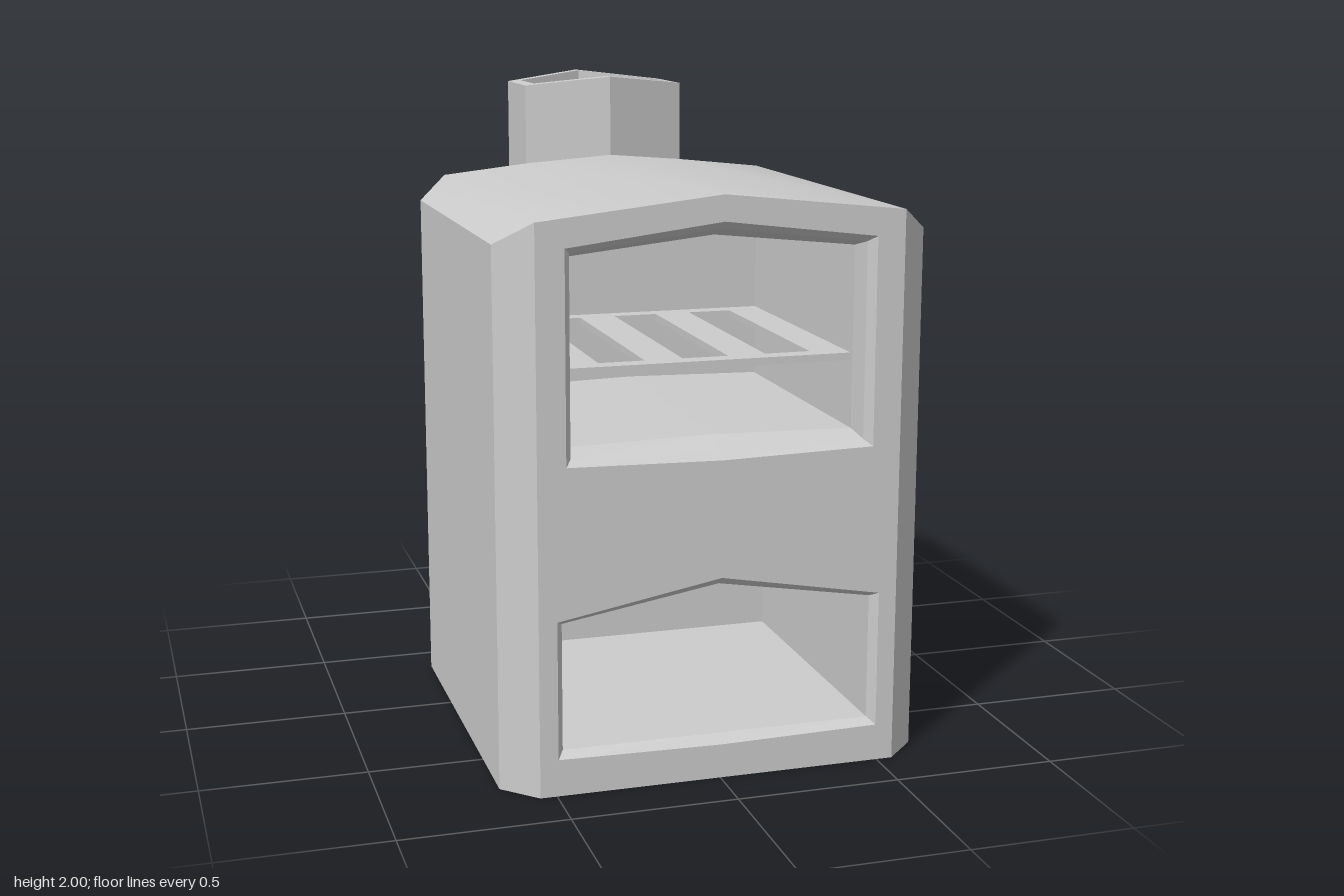
import * as THREE from 'three';

const material = new THREE.MeshStandardMaterial({ color: 0xcccccc, side: THREE.DoubleSide });
const FRONT = 0.835, BACK = -0.46, CHAMBER_BACK = -0.13;
// Roof height over the width: a low ridge with steeper shoulders
const roofY = (x) => {
  const a = Math.abs(x);
  return a <= 0.55 ? 1.74 - (0.06 * a) / 0.55 : 1.68 - 0.7 * (a - 0.55);
};

function add(group, name, geometry) {
  const mesh = new THREE.Mesh(geometry, material);
  mesh.name = name;
  group.add(mesh);
}

// Flat-shaded skin through rings of [x, y, z] points
function loft(rings, { closed = true, cap = false } = {}) {
  const pos = [];
  const tri = (...pts) => pts.forEach((p) => pos.push(...p));
  for (let r = 0; r < rings.length - 1; r++) {
    const a = rings[r], b = rings[r + 1], n = a.length;
    for (let i = 0; i < (closed ? n : n - 1); i++) {
      const j = (i + 1) % n;
      tri(a[i], a[j], b[j]);
      tri(a[i], b[j], b[i]);
    }
  }
  if (cap) {
    const l = rings[rings.length - 1], n = l.length, s = 4;
    for (let i = 1; i < n - 1; i++) tri(l[s], l[(s + i) % n], l[(s + i + 1) % n]);
  }
  const g = new THREE.BufferGeometry();
  g.setAttribute('position', new THREE.Float32BufferAttribute(pos, 3));
  g.computeVertexNormals();
  return g;
}

// Outline of a peaked opening, counter-clockwise from the lower left
const opening = (w, bottom, bottomMid, top, peak) => [
  [-w, bottom], [0, bottomMid], [w, bottom], [w, top], [0, peak], [-w, top],
];
const atZ = (outline, z) => outline.map(([x, y]) => [x, y, z]);
const vectors = (pts) => pts.map(([x, y]) => new THREE.Vector2(x, y));

// Roof: smooth strip over the chamfered plan, notched around the chimney
function roofGeometry() {
  const xs = [-0.65, -0.55, -0.27, 0, 0.27, 0.55, 0.65];
  const pos = [], index = [];
  xs.forEach((x, i) => {
    const a = Math.abs(x);
    const inset = a > 0.6 ? 0.1 : 0;
    const back = x === 0 ? -0.373 : BACK + inset;
    pos.push(x, roofY(x), back, x, roofY(x), FRONT - inset);
    if (i) {
      const p = 2 * (i - 1);
      index.push(p, p + 1, p + 3, p, p + 3, p + 2);
    }
  });
  const g = new THREE.BufferGeometry();
  g.setAttribute('position', new THREE.Float32BufferAttribute(pos, 3));
  g.setIndex(index);
  g.computeVertexNormals();
  return g;
}

export function createModel() {
  const model = new THREE.Group();
  model.name = 'oven';

  const lowerRim = opening(0.495, 0.112, 0.104, 0.53, 0.62);
  const lowerInner = opening(0.475, 0.13, 0.13, 0.515, 0.595);
  const upperRim = opening(0.465, 0.983, 0.973, 1.605, 1.663);
  const upperMid = opening(0.445, 1.0, 0.998, 1.587, 1.64);
  const upperInner = opening(0.434, 1.018, 1.028, 1.568, 1.614);

  // Front wall with both openings
  const wall = new THREE.Shape(vectors([[-0.55, 0], [0.55, 0], [0.55, 1.68], [0, 1.74], [-0.55, 1.68]]));
  wall.holes = [lowerRim, upperRim].map((o) => new THREE.Path(vectors(o)));
  add(model, 'frontWall', new THREE.ShapeGeometry(wall).translate(0, 0, FRONT));

  // Side, chamfer and back walls; the base stays open
  for (const s of [1, -1]) {
    const plan = [[0.55, FRONT], [0.65, FRONT - 0.1], [0.65, BACK + 0.1], [0.55, BACK], [0.27, BACK]];
    if (s < 0) plan.reverse();
    const low = plan.map(([x, z]) => [s * x, 0, z]);
    const high = plan.map(([x, z]) => [s * x, roofY(x), z]);
    add(model, s > 0 ? 'leftWalls' : 'rightWalls', loft([low, high], { closed: false }));
  }
  add(model, 'roof', roofGeometry());

  // Fire chamber and baking chamber
  add(model, 'lowerChamber', loft([
    atZ(lowerRim, FRONT), atZ(lowerInner, FRONT - 0.03), atZ(lowerInner, CHAMBER_BACK),
  ], { cap: true }));
  add(model, 'upperChamber', loft([
    atZ(upperRim, FRONT), atZ(upperMid, FRONT - 0.03),
    atZ(upperInner, FRONT - 0.1), atZ(upperInner, CHAMBER_BACK),
  ], { cap: true }));

  // Slotted shelf in the baking chamber
  const rect = (x0, x1, z0, z1) => vectors([[x0, -z0], [x1, -z0], [x1, -z1], [x0, -z1]]);
  const shelf = new THREE.Shape(rect(-0.434, 0.434, 0.72, CHAMBER_BACK));
  shelf.holes = [-0.255, 0, 0.255].map(
    (x) => new THREE.Path(rect(x - 0.07, x + 0.07, 0.665, CHAMBER_BACK + 0.055)));
  const shelfGeometry = new THREE.ExtrudeGeometry(shelf, { depth: 0.022, bevelEnabled: false });
  add(model, 'shelf', shelfGeometry.rotateX(-Math.PI / 2).translate(0, 1.222, 0));

  // Chimney: six-sided stack, with a ridged hollow top
  const outer = [[0, -0.373], [0.27, BACK], [0.27, -0.725], [0, -0.835], [-0.27, -0.725], [-0.27, BACK]];
  const inner = [[0, -0.417], [0.232, -0.496], [0.232, -0.69], [0, -0.79], [-0.232, -0.69], [-0.232, -0.496]];
  const ring = (plan, y) => plan.map(([x, z]) => [x, y(x), z]);
  const topY = (x) => 2 - (0.03 * Math.abs(x)) / 0.27;
  const stack = outer.slice(1);
  add(model, 'chimneyStack', loft([ring(stack, () => 0), ring(stack, roofY)], { closed: false }));
  add(model, 'chimneyTop', loft([
    ring(outer, roofY), ring(outer, topY), ring(inner, topY), ring(inner, () => 1.5),
  ], { cap: true }));

  return model;
}
